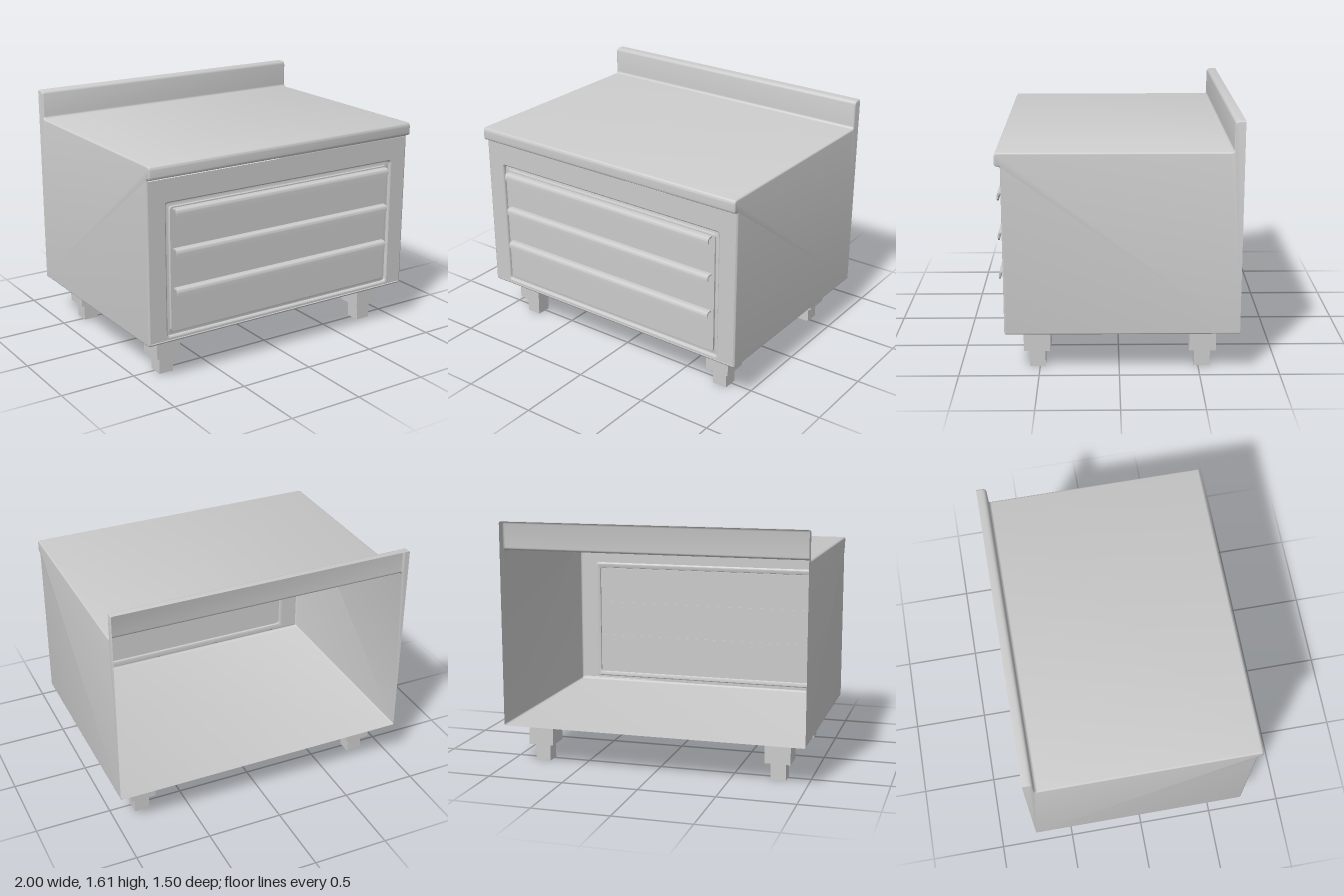
import * as THREE from 'three';
import { toCreasedNormals } from 'three/addons/utils/BufferGeometryUtils.js';

const material = new THREE.MeshStandardMaterial({ color: 0xcccccc, side: THREE.DoubleSide });

function part(name, geometry, parent) {
  const mesh = new THREE.Mesh(geometry, material);
  mesh.name = name;
  parent.add(mesh);
  return mesh;
}

// Closed outline from corners [u, v, radius], counter-clockwise
function outline(corners, Kind = THREE.Shape) {
  const shape = new Kind();
  const n = corners.length;
  corners.forEach(([u, v, r = 0], i) => {
    const c = new THREE.Vector2(u, v);
    const toward = (k) => new THREE.Vector2(...corners[(i + k + n) % n].slice(0, 2))
      .sub(c).setLength(r).add(c);
    const a = r ? toward(-1) : c;
    if (i === 0) shape.moveTo(a.x, a.y); else shape.lineTo(a.x, a.y);
    if (r) {
      const b = toward(1);
      shape.quadraticCurveTo(c.x, c.y, b.x, b.y);
    }
  });
  shape.closePath();
  return shape;
}

function rect(x, y0, y1, r, Kind) {
  return outline([[-x, y0, r], [x, y0, r], [x, y1, r], [-x, y1, r]], Kind);
}

// Extrudes a (z, y) profile across x, centred
function acrossX(shape, width, bevel, steps = 1) {
  const depth = width - 2 * bevel;
  return new THREE.ExtrudeGeometry(shape, {
    depth, steps, curveSegments: 6, bevelEnabled: bevel > 0, bevelThickness: bevel,
    bevelSize: bevel, bevelOffset: -bevel, bevelSegments: 3,
  }).translate(0, 0, -depth / 2).rotateY(-Math.PI / 2);
}

// Drops triangles that lie wholly in one of the planes z = const
function withoutPlanes(geometry, planes) {
  const p = geometry.attributes.position;
  const kept = [];
  for (let i = 0; i < p.count; i += 3) {
    const flat = planes.some((z) => [0, 1, 2].every((k) => Math.abs(p.getZ(i + k) - z) < 0.001));
    if (flat) continue;
    for (let k = 0; k < 3; k++) kept.push(p.getX(i + k), p.getY(i + k), p.getZ(i + k));
  }
  const out = new THREE.BufferGeometry();
  out.setAttribute('position', new THREE.Float32BufferAttribute(kept, 3));
  return out;
}

// Thin shell, open at the back, with worktop nose and upstand
function shellGeometry() {
  const profile = outline([
    [-0.745, 0.27], [0.71, 0.27, 0.02], [0.71, 1.335, 0.014], [0.745, 1.335, 0.018],
    [0.745, 1.42, 0.025], [-0.68, 1.42, 0.02], [-0.68, 1.61, 0.03], [-0.745, 1.61],
  ]);
  const g = acrossX(profile, 2, 0.01);
  const p = g.attributes.position;
  for (let i = 0; i < p.count; i++) if (p.getZ(i) < -0.73) p.setZ(i, -0.745);
  return toCreasedNormals(withoutPlanes(g, [-0.745, 0.71]), 0.65);
}

const opening = (x, Kind) => rect(x, 1.18 - x, 0.3 + x, 0.02, Kind);

// Rounded groove around the drawer front, lofted through shrinking loops
function grooveGeometry() {
  const section = [[0.877, 0.71], [0.872, 0.708], [0.868, 0.703], [0.867, 0.69],
    [0.842, 0.69], [0.84, 0.692], [0.84, 0.705]];
  const position = [];
  const index = [];
  let n = 0;
  section.forEach(([x, z], i) => {
    const ring = opening(x).getPoints(6);
    n = ring.length;
    ring.forEach((q, j) => {
      position.push(q.x, q.y, z);
      if (i === section.length - 1) return;
      const a = i * n + j;
      const b = i * n + (j + 1) % n;
      index.push(a, b, b + n, a, b + n, a + n);
    });
  });
  const g = new THREE.BufferGeometry();
  g.setAttribute('position', new THREE.Float32BufferAttribute(position, 3));
  g.setIndex(index);
  return toCreasedNormals(g, 0.75);
}

// Hooked pull with softened lower corners
function handleGeometry() {
  const hook = outline([
    [0.7, -0.01], [0.74, -0.01, 0.018], [0.74, -0.057], [0.75, -0.057],
    [0.75, 0, 0.026], [0.7, 0],
  ]);
  const g = acrossX(hook, 1.64, 0, 60);
  const p = g.attributes.position;
  for (let i = 0; i < p.count; i++) {
    if (p.getY(i) < -0.05 && Math.abs(p.getX(i)) > 0.815) p.setY(i, -0.04);
  }
  return toCreasedNormals(g, 0.6);
}

export function createModel() {
  const model = new THREE.Group();
  model.name = 'drawerCabinet';

  part('cabinetShell', shellGeometry(), model);

  // Front wall and drawer panel
  const front = rect(0.99, 0.29, 1.321, 0);
  front.holes.push(opening(0.877, THREE.Path));
  part('frontFrame', new THREE.ShapeGeometry(front, 6).translate(0, 0, 0.71), model);
  part('panelGroove', grooveGeometry(), model);
  part('drawerPanel', new THREE.ShapeGeometry(opening(0.84), 6).translate(0, 0, 0.705), model);

  // Drawer handles
  const handle = handleGeometry();
  for (let i = 0; i < 3; i++) part('drawerHandle', handle, model).position.y = 1.132 - 0.254 * i;

  // Legs: solid block with a hollow square foot
  const block = new THREE.BoxGeometry(0.168, 0.154, 0.168);
  const foot = new THREE.CylinderGeometry(0.05 * Math.SQRT2, 0.05 * Math.SQRT2, 0.115, 4, 1, true)
    .rotateY(Math.PI / 4).toNonIndexed();
  foot.computeVertexNormals();
  for (const x of [-0.8, 0.8]) {
    for (const z of [0.515, -0.525]) {
      const leg = new THREE.Group();
      leg.name = 'leg';
      leg.position.set(x, 0, z);
      part('legBlock', block, leg).position.y = 0.192;
      part('legFoot', foot, leg).position.y = 0.0575;
      model.add(leg);
    }
  }
  return model;
}
